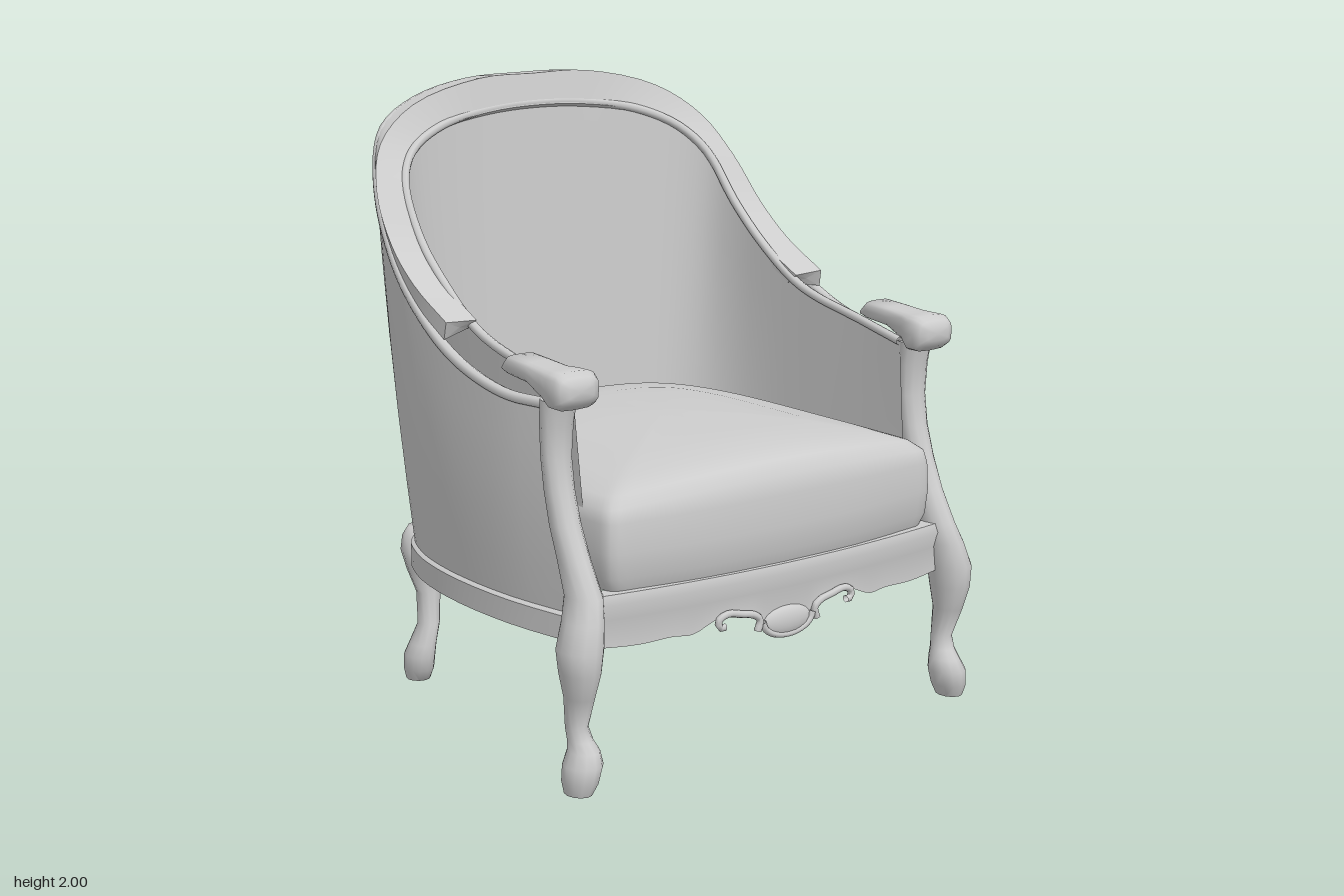
import * as THREE from 'three';
import { toCreasedNormals } from 'three/addons/utils/BufferGeometryUtils.js';

const V = (p) => new THREE.Vector3(...p);

// Skin a list of cross-sections (equal point counts); capped lists which ends (0 first, 1 last) are closed
function loft(sections, { ring = true, capped = [0, 1], crease = 0.7 } = {}) {
  const n = sections[0].length, pos = [], idx = [];
  sections.forEach((s) => s.forEach((p) => pos.push(p.x, p.y, p.z)));
  for (let i = 0; i < sections.length - 1; i++) {
    for (let j = 0; j < (ring ? n : n - 1); j++) {
      const a = i * n + j, b = i * n + (j + 1) % n;
      idx.push(a, b, a + n, b, b + n, a + n);
    }
  }
  for (const end of capped) {
    const s = end * (sections.length - 1), ci = pos.length / 3;
    const c = sections[s].reduce((m, p) => m.add(p), new THREE.Vector3()).divideScalar(n);
    pos.push(c.x, c.y, c.z);
    for (let j = 0; j < n; j++) {
      const a = s * n + j, b = s * n + (j + 1) % n;
      if (end) idx.push(a, b, ci); else idx.push(b, a, ci);
    }
  }
  const g = new THREE.BufferGeometry();
  g.setAttribute('position', new THREE.Float32BufferAttribute(pos, 3));
  g.setIndex(idx);
  return toCreasedNormals(g, crease);
}

// Mirror a half line (ending on x = 0) into a full line and sample it smoothly
function fullLine(half, n = 54) {
  const pts = half.map(V);
  const other = pts.slice(0, -1).reverse().map((p) => new THREE.Vector3(-p.x, p.y, p.z));
  return new THREE.CatmullRomCurve3([...pts, ...other]).getPoints(n);
}

// Elliptical sections stacked upward: [y, x0, x1, z0, z1]
function stack(rows, side, sides = 12) {
  return loft(rows.map(([y, x0, x1, z0, z1]) => Array.from({ length: sides }, (_, j) => {
    const a = (j / sides) * Math.PI * 2;
    return new THREE.Vector3(side * ((x0 + x1) / 2 + Math.cos(a) * (x1 - x0) / 2), y,
      (z0 + z1) / 2 + Math.sin(a) * (z1 - z0) / 2);
  })), { crease: 1.1 });
}

export function createModel() {
  const model = new THREE.Group();
  const grey = new THREE.MeshStandardMaterial({ color: 0xcccccc, side: THREE.DoubleSide });
  grey.name = 'plain grey';
  const add = (name, geometry) => {
    const m = new THREE.Mesh(geometry, grey);
    m.name = name;
    model.add(m);
    return m;
  };
  const tube = (name, pts, r) =>
    add(name, new THREE.TubeGeometry(new THREE.CatmullRomCurve3(pts), pts.length * 2, r, 8));

  // Outer upholstery shell
  const outerTop = [[.735, 1.17, .47], [.765, 1.175, .3], [.772, 1.24, .03], [.76, 1.36, -.2], [.747, 1.49, -.35],
    [.71, 1.69, -.5], [.61, 1.86, -.63], [.45, 1.94, -.69], [.22, 1.985, -.725], [0, 1.99, -.735]];
  const outerBase = [[.7, .58], [.745, .3], [.75, .03], [.725, -.18], [.685, -.32],
    [.62, -.45], [.51, -.55], [.36, -.62], [.18, -.66], [0, -.68]].map(([x, z]) => [x, .51, z]);
  const oTop = fullLine(outerTop), oBase = fullLine(outerBase);
  const shell = (base, top, bulge) => loft([0, .2, .4, .6, .8, 1].map((t) => base.map((b, i) => {
    const p = b.clone().lerp(top[i], t), k = 1 + bulge * Math.sin(t * Math.PI);
    return p.set(p.x * k, p.y, p.z);
  })), { ring: false, capped: [], crease: 1.2 });
  add('outerShell', shell(oBase, oTop, .018));

  // Inner upholstery
  const innerTop = [[.655, 1.18, .5], [.66, 1.22, .3], [.655, 1.29, .0], [.65, 1.41, -.2], [.645, 1.54, -.35],
    [.62, 1.70, -.47], [.545, 1.79, -.54], [.4, 1.855, -.59], [.2, 1.89, -.62], [0, 1.9, -.625]];
  const innerBase = [[.64, .56], [.64, .3], [.635, 0], [.62, -.18], [.58, -.33],
    [.52, -.43], [.44, -.5], [.32, -.535], [.16, -.545], [0, -.545]].map(([x, z]) => [x, .6, z]);
  add('innerUpholstery', shell(fullLine(innerBase), fullLine(innerTop), 0));

  // Broad top rail: inner front, outer front, outer back, inner back edges
  const railOuter = [[.763, 1.33, -.02], [.763, 1.42, -.2], [.757, 1.53, -.34], [.733, 1.68, -.46],
    [.66, 1.82, -.55], [.5, 1.93, -.605], [.22, 1.997, -.63], [0, 2, -.635]];
  const railInner = [[.65, 1.325, -.02], [.65, 1.415, -.2], [.645, 1.535, -.34], [.62, 1.70, -.46],
    [.54, 1.79, -.535], [.4, 1.85, -.58], [.2, 1.885, -.605], [0, 1.895, -.61]];
  const railBack = [[.765, 1.27, -.03], ...outerTop.slice(3)].map(([x, y, z]) => [x, y + .005, z]);
  const railUnder = railInner.map(([x, y, z]) => [x, y - .03, z - .04]);
  const edges = [railInner, railOuter, railBack, railUnder].map((e) => fullLine(e, 56));
  add('topRail', loft(edges[0].map((_, i) => edges.map((e) => e[i]))));

  // Mouldings along the outer and inner edges
  tube('outerMoulding', oTop.map((p) => new THREE.Vector3(p.x * .992, p.y - .012, p.z * .987)), .018);
  tube('innerMoulding', fullLine(innerTop).map((p) => p.clone().setY(p.y + .002)), .015);

  // Curved seat frame with a softened outer edge
  add('seatFrame', loft(oBase.map((p) => [[1.0, .525], [1.018, .515], [1.018, .44], [.96, .44], [.96, .525]]
    .map(([k, y]) => new THREE.Vector3(p.x * k, y, p.z * k)))));

  // Front apron with a wavy lower edge and bowed plan
  const wave = new THREE.CatmullRomCurve3([[0, .385, 0], [.08, .41, 0], [.13, .46, 0], [.26, .465, 0],
    [.36, .43, 0], [.43, .435, 0], [.55, .43, 0], [.71, .44, 0]].map(V)).getPoints(28);
  const bow = (x) => .65 + .06 * (1 - (x / .7) ** 2);
  const apronLine = [...wave.slice(1).reverse().map((p) => [-p.x, p.y]), ...wave.map((p) => [p.x, p.y])];
  add('frontApron', loft(apronLine.map(([x, y]) => {
    const z = bow(x);
    return [[.6, -.04], [.6, .015], [.57, .025], [.52, .008], [y, .01], [y, -.015]]
      .map(([h, d]) => new THREE.Vector3(x, h, z + d));
  })));

  // Carved shell and scrolls on the apron
  const carving = add('apronShell', new THREE.SphereGeometry(1, 16, 10));
  carving.scale.set(.1, .05, .025);
  carving.position.set(0, .412, .715);
  tube('apronShellRim', Array.from({ length: 9 }, (_, i) => {
    const a = Math.PI * (1 + i / 8);
    return new THREE.Vector3(.1 * Math.cos(a), .425 + .055 * Math.sin(a), .725);
  }), .011);

  // Seat cushion: rounded outline stacked into a crowned pillow, open underneath
  const outline = fullLine([[0, .725], [.3, .715], [.55, .68], [.635, .66], [.65, .6], [.645, .3], [.635, 0], [.615, -.18],
    [.57, -.34], [.5, -.45], [.38, -.52], [.2, -.54], [0, -.54]].map(([x, z]) => [x, 0, z]), 72).slice(0, -1);
  const layers = [[.6, .975, 0], [.64, .998, 0], [.72, 1.008, 0], [.81, 1.003, .01], [.85, .988, .03],
    [.88, .93, .04], [.912, .79, .032], [.942, .56, .018], [.962, .3, 0], [.968, .08, 0]];
  add('seatCushion', loft(layers.map(([y, k, crown]) => outline.map((p) => new THREE.Vector3(p.x * k,
    y + crown * (1 - (p.x / .65) ** 2), .09 + (p.z - .09) * k))), { capped: [1], crease: 1 }));

  // Post flowing into the front cabriole leg
  const frontLeg = [[0, .72, .8, .61, .71], [.04, .7, .808, .597, .728], [.09, .685, .805, .595, .732], [.13, .69, .785, .6, .715],
    [.16, .703, .778, .6, .69], [.2, .71, .78, .597, .67], [.3, .705, .795, .6, .71], [.38, .69, .812, .585, .735],
    [.45, .68, .818, .575, .74], [.53, .67, .79, .57, .725], [.6, .66, .765, .555, .7], [.7, .665, .76, .52, .64],
    [.8, .667, .762, .488, .59], [.9, .667, .762, .465, .555], [1, .665, .765, .455, .535],
    [1.1, .66, .77, .455, .54], [1.18, .655, .772, .455, .56]];
  const backLeg = [[0, .52, .6, -.585, -.5], [.04, .515, .612, -.59, -.475], [.09, .517, .615, -.585, -.46],
    [.13, .515, .6, -.57, -.46], [.2, .502, .572, -.55, -.465], [.3, .478, .56, -.575, -.495], [.38, .47, .59, -.595, -.487],
    [.45, .47, .61, -.605, -.485], [.5, .48, .6, -.605, -.488], [.53, .5, .58, -.59, -.5]];
  // Arm pad sections along z: [z, x0, x1, y0, y1]
  const armPad = [[.285, .67, .765, 1.235, 1.25], [.32, .66, .775, 1.225, 1.285], [.42, .66, .775, 1.215, 1.28],
    [.5, .655, .778, 1.18, 1.275], [.54, .635, .785, 1.157, 1.275], [.585, .63, .788, 1.158, 1.275],
    [.61, .64, .78, 1.175, 1.26], [.622, .665, .755, 1.195, 1.24]];

  for (const side of [1, -1]) {
    const hand = side > 0 ? 'left' : 'right';
    add(hand + 'FrontLegAndPost', stack(frontLeg, side));
    add(hand + 'BackLeg', stack(backLeg, side));
    add(hand + 'ArmPad', loft(armPad.map(([z, x0, x1, y0, y1]) => Array.from({ length: 16 }, (_, j) => {
      const a = (j / 16) * Math.PI * 2, c = Math.cos(a), s = Math.sin(a);
      const sq = (v) => Math.sign(v) * Math.sqrt(Math.abs(v));
      return new THREE.Vector3(side * ((x0 + x1) / 2 + sq(c) * (x1 - x0) / 2), (y0 + y1) / 2 + sq(s) * (y1 - y0) / 2, z);
    })), { crease: 1 }));
    tube(hand + 'ApronScroll', [[.12, .4], [.11, .435], [.135, .455], [.18, .465], [.235, .475], [.268, .46], [.265, .437], [.245, .435]]
      .map(([x, y]) => new THREE.Vector3(side * x, y, bow(x) + .015)), .012);
  }
  return model;
}
